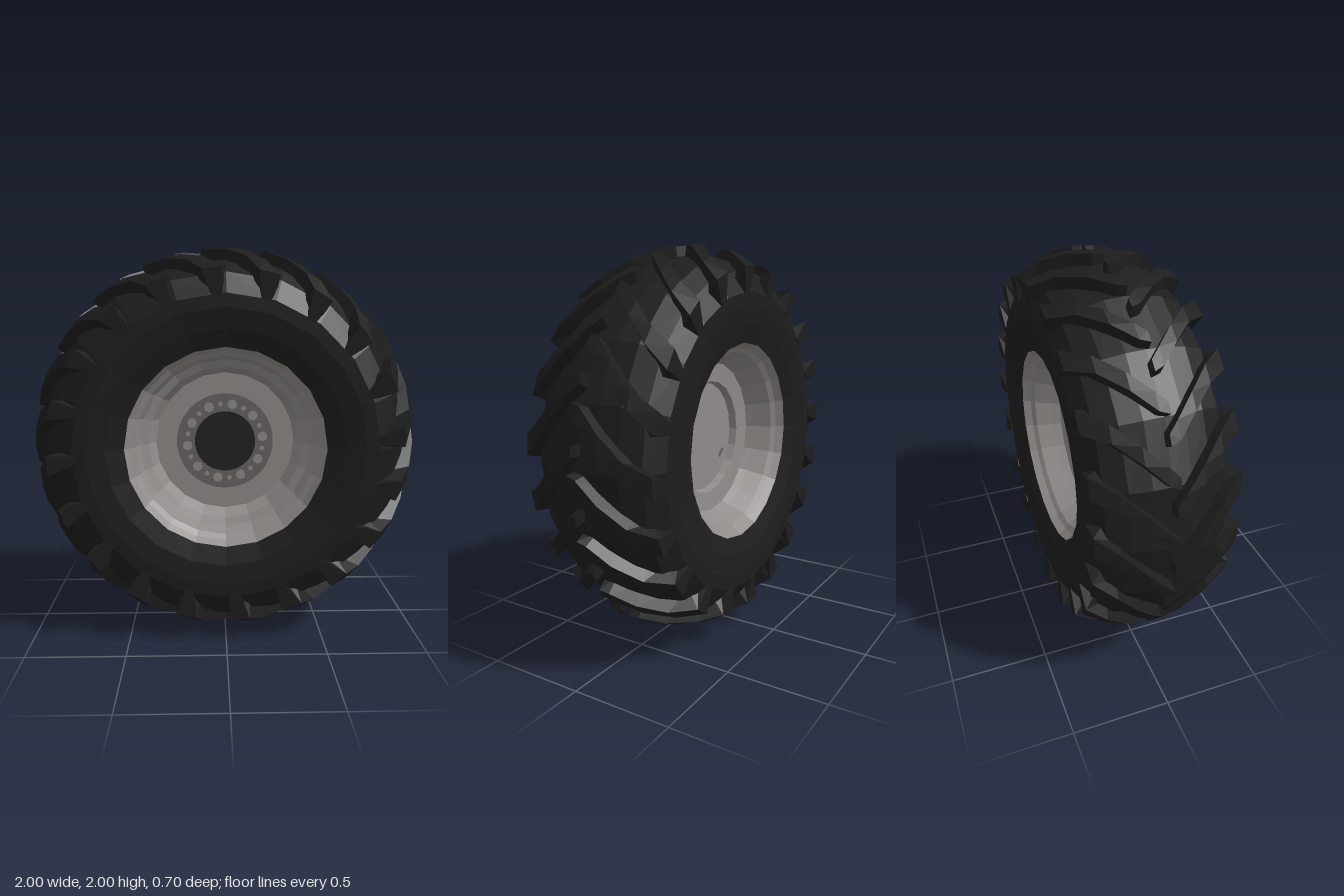
import * as THREE from 'three';

const SIDES = 20;       // facets around the wheel, also lugs per side
const PITCH = (Math.PI * 2) / SIDES;

function flatColor(name, color) {
  const material = new THREE.MeshStandardMaterial({ color, flatShading: true });
  material.name = name;
  return material;
}
const rubber = flatColor('black rubber', 0x1d1d1d);
const steel = flatColor('grey steel', 0x8f8b89);
const darkSteel = flatColor('dark steel', 0x686562);
const hubBlack = flatColor('hub black', 0x222222);

function addMesh(parent, name, geometry, material) {
  const mesh = new THREE.Mesh(geometry, material);
  mesh.name = name;
  parent.add(mesh);
  return mesh;
}

// Surface turned about the z axle from [radius, z] pairs
function turned(profile) {
  const points = profile.map(([r, z]) => new THREE.Vector2(r, z));
  return new THREE.LatheGeometry(points, SIDES).rotateX(Math.PI / 2);
}

// Disc facing +z
function disc(radius, thickness, sides) {
  return new THREE.CylinderGeometry(radius, radius, thickness, sides).rotateX(Math.PI / 2);
}

// Lug cross-sections from the tread centre to the sidewall:
// [top z, top r, base z, base r, angle, half width]
const LUG = [
  [-0.012, 1.0, -0.012, 0.91, 0.0, 0.026],
  [0.035, 0.998, 0.035, 0.91, -0.035, 0.042],
  [0.13, 0.983, 0.125, 0.88, -0.14, 0.042],
  [0.24, 0.945, 0.225, 0.85, -0.255, 0.045],
  [0.35, 0.885, 0.27, 0.80, -0.335, 0.058],
  [0.344, 0.755, 0.29, 0.75, -0.355, 0.03],
];

function lugGeometry(side) {
  const pos = [], index = [];
  for (const [tz, tr, bz, br, a, w] of LUG) {
    const put = (r, z, angle) => pos.push(r * Math.cos(angle), r * Math.sin(angle), z * side);
    put(br, bz, a - w * 1.3);
    put(tr, tz, a - w);
    put(tr, tz, a + w);
    put(br, bz, a + w * 1.3);
  }
  const quad = (a, b, c, d) => side > 0
    ? index.push(a, c, b, a, d, c)
    : index.push(a, b, c, a, c, d);
  const last = (LUG.length - 1) * 4;
  for (let i = 0; i < last; i += 4) {
    for (let k = 0; k < 4; k++) {
      const n = (k + 1) % 4;
      quad(i + k, i + 4 + k, i + 4 + n, i + n);
    }
  }
  quad(0, 1, 2, 3);
  quad(last + 3, last + 2, last + 1, last);
  const g = new THREE.BufferGeometry();
  g.setAttribute('position', new THREE.Float32BufferAttribute(pos, 3));
  g.setIndex(index);
  g.computeVertexNormals();
  return g;
}

export function createModel() {
  const model = new THREE.Group();
  model.name = 'tractorWheel';
  const wheel = new THREE.Group();
  wheel.name = 'wheel';
  wheel.position.y = 1;
  model.add(wheel);

  // Tyre carcass
  const half = [[0.508, 0.3], [0.6, 0.328], [0.7, 0.341], [0.765, 0.339],
    [0.865, 0.282], [0.915, 0.19], [0.94, 0.09]];
  const carcass = [...half.map(([r, z]) => [r, -z]), [0.947, 0], ...half.slice().reverse()];
  addMesh(wheel, 'tyreCarcass', turned(carcass), rubber);

  // Staggered chevron lugs on both halves
  for (const [side, phase, name] of [[1, 0.1, 'frontLug'], [-1, -0.03, 'backLug']]) {
    const geometry = lugGeometry(side);
    for (let i = 0; i < SIDES; i++) {
      addMesh(wheel, name, geometry, rubber).rotation.z = phase + i * PITCH;
    }
  }

  // Stepped rim, front and back dishes
  addMesh(wheel, 'frontRim', turned([
    [0.508, 0.3], [0.485, 0.26], [0.46, 0.24],
    [0.44, 0.16], [0.4, 0.14], [0.365, 0.065], [0, 0.065],
  ]), steel);
  addMesh(wheel, 'backRim', turned([
    [0, -0.06], [0.29, -0.06], [0.3, -0.1], [0.4, -0.11], [0.42, -0.15],
    [0.46, -0.24], [0.485, -0.26], [0.508, -0.3],
  ]), steel);

  // Hub plate and centre cap
  addMesh(wheel, 'hubPlate', disc(0.255, 0.008, 30), darkSteel).position.z = 0.067;
  addMesh(wheel, 'hubCap', disc(0.16, 0.012, 30), hubBlack).position.z = 0.069;

  // Ring of alternating large and small wheel bolts
  const bolts = 20;
  for (let i = 0; i < bolts; i++) {
    const a = (i / bolts) * Math.PI * 2 + 0.12;
    const big = i % 2 === 0;
    const bolt = addMesh(wheel, 'wheelBolt', disc(big ? 0.026 : 0.013, 0.008, 8), steel);
    bolt.position.set(0.2 * Math.cos(a), 0.2 * Math.sin(a), 0.07);
  }

  // Small slot on the back plate
  const slot = addMesh(wheel, 'backSlot', new THREE.BoxGeometry(0.055, 0.018, 0.006), darkSteel);
  slot.position.set(-0.19, -0.12, -0.062);
  slot.rotation.z = -0.8;

  return model;
}
